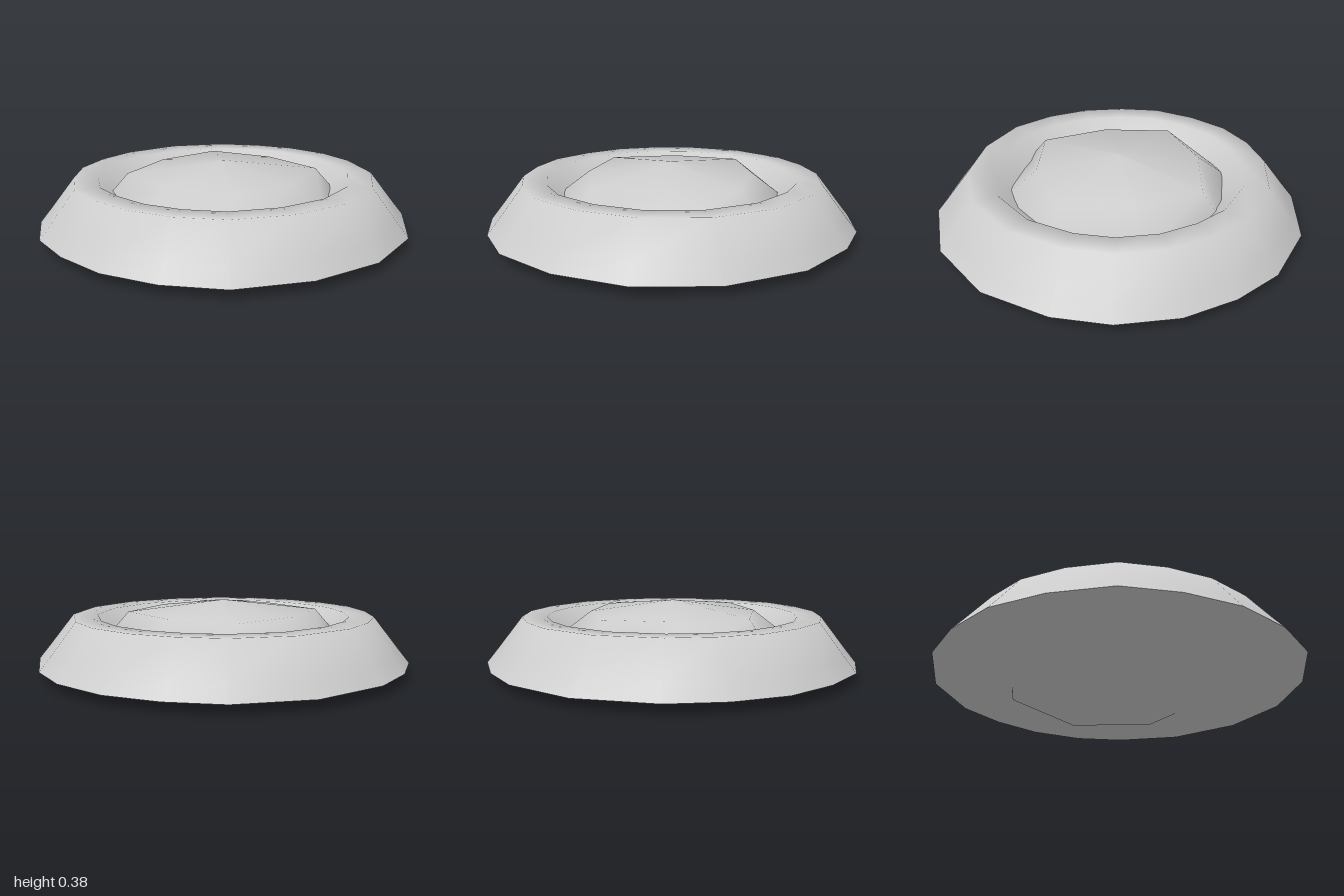
import * as THREE from 'three';

const material = new THREE.MeshStandardMaterial({ color: 0xcccccc });

// Skin a stack of closed rings, each an array of [x, y, z], from bottom to top
function loft(name, rings) {
  const n = rings[0].length;
  const index = [];
  for (let j = 0; j < rings.length - 1; j++) {
    for (let i = 0; i < n; i++) {
      const a = j * n + i, b = j * n + (i + 1) % n;
      index.push(a, a + n, b, b, a + n, b + n);
    }
  }
  const geometry = new THREE.BufferGeometry();
  geometry.setAttribute('position', new THREE.Float32BufferAttribute(rings.flat(2), 3));
  geometry.setIndex(index);
  geometry.computeVertexNormals();
  const mesh = new THREE.Mesh(geometry, material);
  mesh.name = name;
  return mesh;
}

// Slightly uneven, hand-cut outline of the rim, as x, z pairs
const outline = [
  [-0.11, -1], [0.2, -0.99], [0.47, -0.89], [0.77, -0.66], [0.97, -0.29],
  [1, 0.11], [0.88, 0.47], [0.65, 0.77], [0.38, 0.92], [0.09, 0.99],
  [-0.2, 0.97], [-0.47, 0.89], [-0.71, 0.7], [-0.89, 0.47], [-0.98, 0.2],
  [-1, -0.09], [-0.89, -0.48], [-0.64, -0.78], [-0.39, -0.92],
];
const rimRing = ([r, y]) => outline.map(([x, z]) => [x * r, y, z * r]);

// Eight-sided ring with separate radii for the middles and the corners
function bodyRing(rMiddle, rCorner, heightAt) {
  return Array.from({ length: 8 }, (_, i) => {
    const a = (i * Math.PI) / 4;
    const r = i % 2 ? rCorner : rMiddle;
    const x = r * Math.cos(a), z = r * Math.sin(a);
    return [x, heightAt(x, z), z];
  });
}

export function createModel() {
  const group = new THREE.Group();
  group.name = 'ringedDome';

  // Raised ring: sloping outer wall, crest and inner wall
  const profile = [[1, 0.06], [0.94, 0.135], [0.81, 0.303], [0.68, 0.3], [0.5, 0.12]];
  group.add(loft('rim', profile.map(rimRing)));

  // Flat underside
  group.add(loft('base', [[0, 0.06], [1, 0.06]].map(rimRing)));

  // Dome whose tilted underside breaks through the base at the back
  const tilt = (x, z) => 0.073 + 0.11 * z + 0.025 * Math.abs(x);
  group.add(loft('dome', [
    bodyRing(0, 0, () => 0.073),
    bodyRing(0.62, 0.64, tilt),
    bodyRing(0.66, 0.66, () => 0.16),
    bodyRing(0.45, 0.52, () => 0.32),
    bodyRing(0, 0, () => 0.38),
  ]));

  return group;
}
